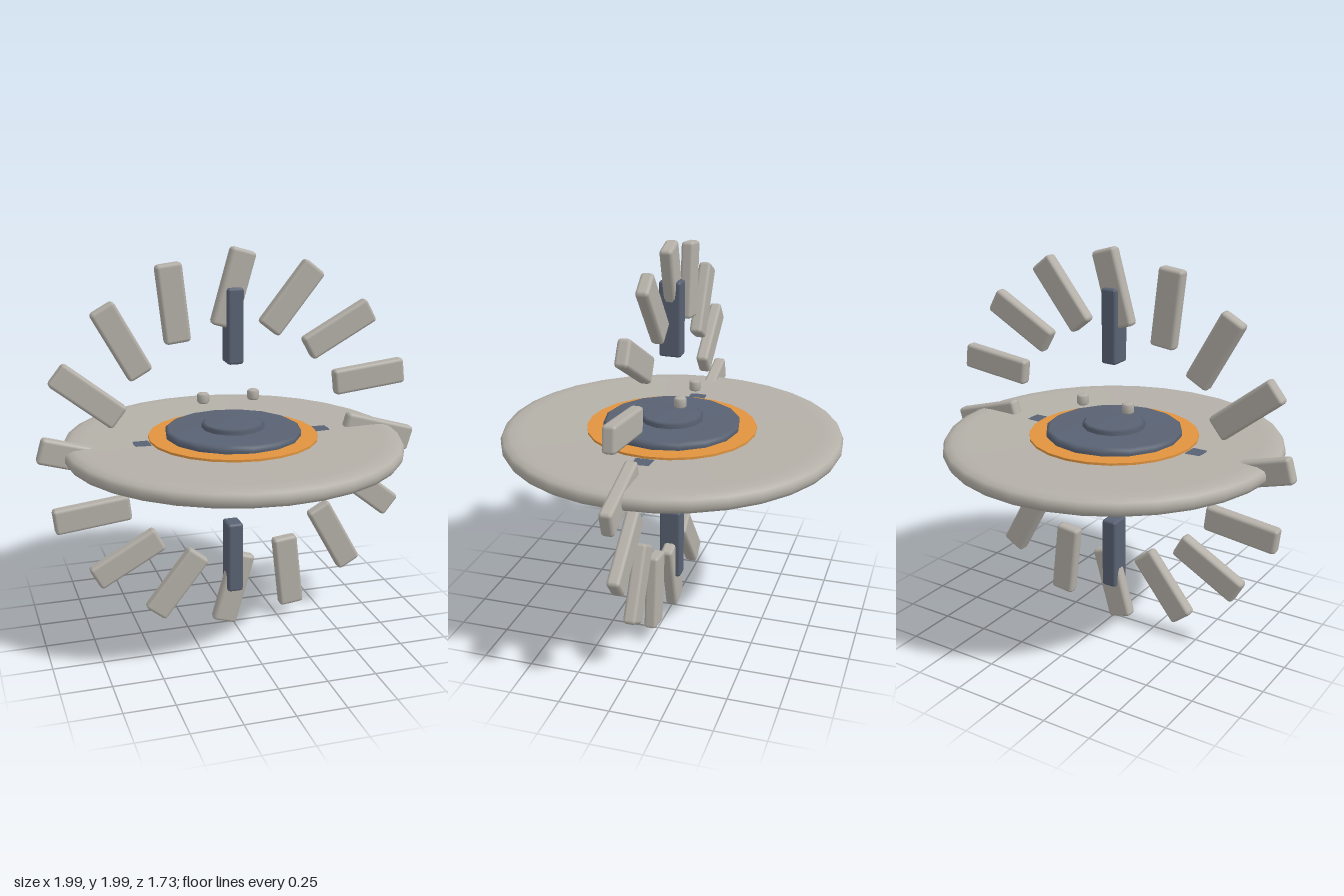
import * as THREE from 'three';
import { RoundedBoxGeometry } from 'three/addons/geometries/RoundedBoxGeometry.js';

const paint = (name, color) => Object.assign(new THREE.MeshStandardMaterial({ color }), { name });

export function createModel() {
  const grey = paint('warm grey', 0xb4b0a8);
  const slate = paint('slate blue', 0x596273);
  const orange = paint('orange', 0xe0943f);

  const model = new THREE.Group();
  model.name = 'ringedDisc';
  const core = new THREE.Group();
  core.name = 'core';
  core.position.y = 1;
  model.add(core);

  const add = (name, geometry, material, x = 0, y = 0, z = 0, turn = 0) => {
    const mesh = new THREE.Mesh(geometry, material);
    mesh.name = name;
    mesh.position.set(x, y, z);
    mesh.rotation.z = turn;
    core.add(mesh);
    return mesh;
  };
  // Turned part from a profile running from the lower axis to the upper axis
  const turned = (name, points, sides, material) =>
    add(name, new THREE.LatheGeometry(points.map(([r, y]) => new THREE.Vector2(r, y)), sides), material);

  // Broad flat disc, slightly thinner towards the middle
  turned('disc', [
    [0, -0.038], [0.42, -0.04], [0.76, -0.047], [0.82, -0.045], [0.855, -0.032], [0.866, -0.012],
    [0.866, 0.012], [0.855, 0.032], [0.82, 0.045], [0.76, 0.047], [0.42, 0.04], [0, 0.038],
  ], 32, grey);

  // Orange band around the hub, on both faces
  add('orangeBand', new THREE.CylinderGeometry(0.432, 0.432, 0.104, 24), orange);

  // Stepped hub plates, above and below
  turned('hubPlate', [
    [0, -0.09], [0.345, -0.09], [0.362, -0.08], [0.362, -0.058], [0.345, -0.05],
    [0.345, 0.05], [0.347, 0.06], [0.347, 0.08], [0.33, 0.09], [0, 0.09],
  ], 16, slate);
  turned('hubCap', [
    [0, -0.118], [0.145, -0.118], [0.16, -0.108], [0.16, 0.108], [0.145, 0.118], [0, 0.118],
  ], 14, slate);

  // Four radial bars
  const bar = new RoundedBoxGeometry(0.084, 0.38, 0.114, 1, 0.014);
  for (let i = 0; i < 4; i++) {
    const a = i * Math.PI / 2;
    add('radialBar', bar, slate, Math.sin(a) * 0.613, Math.cos(a) * 0.613, 0, -a);
  }

  // Upright ring of sixteen tilted blocks
  const block = new RoundedBoxGeometry(0.132, 0.39, 0.066, 1, 0.018);
  for (let i = 0; i < 16; i++) {
    const a = i * Math.PI / 8;
    add('ringBlock', block, grey, Math.sin(a) * 0.796, Math.cos(a) * 0.796, 0, -a - 0.28);
  }

  // Four small studs floating above and below the hub
  const stud = new THREE.LatheGeometry([
    [0, -0.026], [0.024, -0.026], [0.031, -0.018], [0.031, 0.018], [0.024, 0.026], [0, 0.026],
  ].map(([r, y]) => new THREE.Vector2(r, y)), 10);
  for (const x of [-0.133, 0.133]) {
    for (const y of [-0.23, 0.23]) add('stud', stud, grey, x, y, -0.083);
  }

  return model;
}
